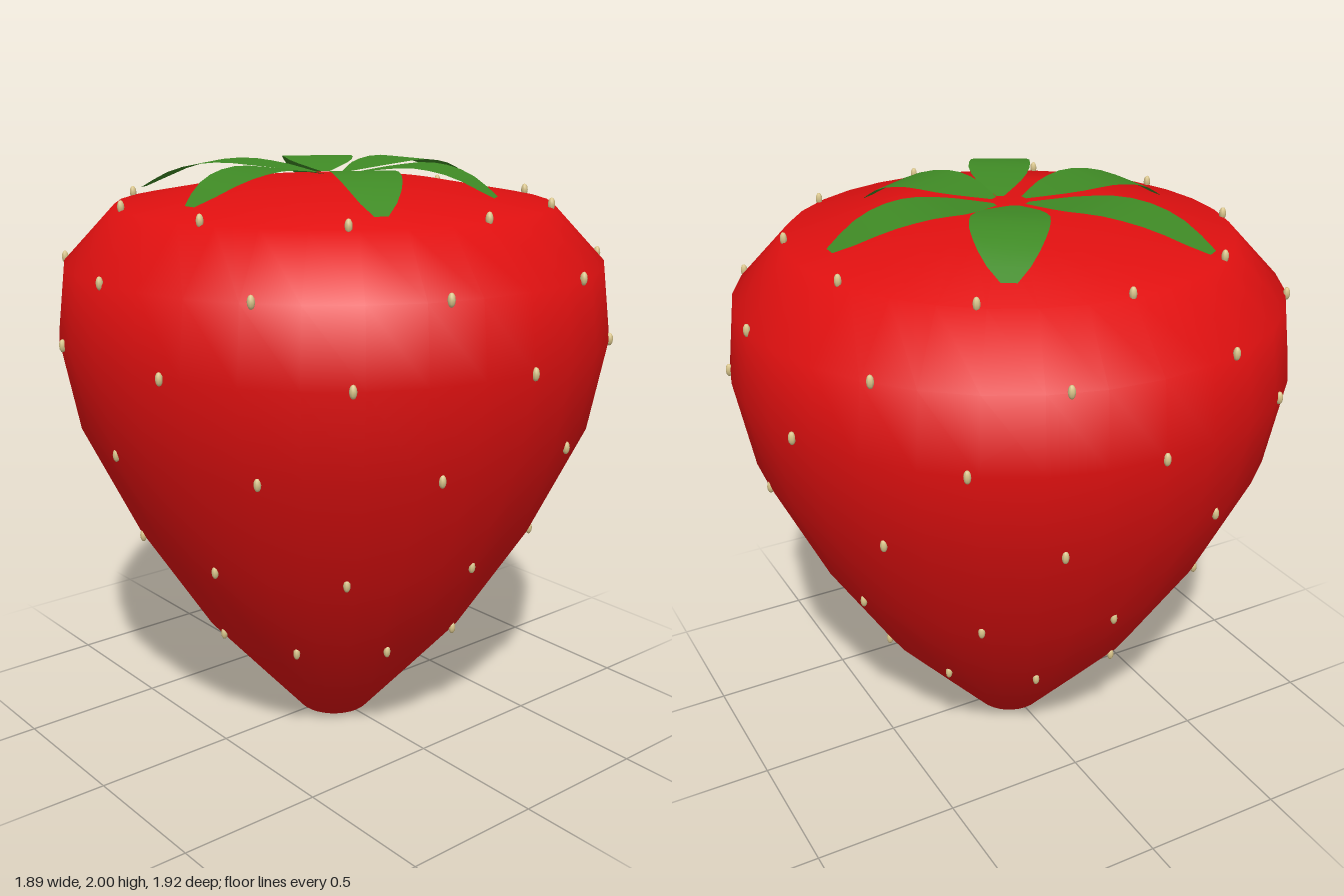
import * as THREE from 'three';

const mat = (name, color, side = THREE.FrontSide) => {
  const m = new THREE.MeshStandardMaterial({ color, side });
  m.name = name;
  return m;
};

// Curved leaf blade from base to tip; n and p are half widths on its two sides
function leafGeometry([bx, bz, tx, tz, n, p]) {
  const width = [0.12, 0.42, 0.7, 0.89, 0.99, 1, 0.97, 0.88, 0.74, 0.52, 0.2];
  const arch = new THREE.CatmullRomCurve3([
    [0, 1.968], [0.25, 1.99], [0.5, 2], [0.75, 1.972], [1, 1.9],
  ].map(([t, y]) => new THREE.Vector3(t, y, 0)));
  const len = Math.hypot(tx - bx, tz - bz);
  const dx = (tx - bx) / len, dz = (tz - bz) / len;
  const pos = [], index = [], rows = width.length - 1;
  width.forEach((w, i) => {
    const { x: t, y } = arch.getPoint(i / rows);
    for (const s of [-n * w, 0, p * w]) {
      pos.push(bx + dx * len * t - dz * s, Math.min(y, 2), bz + dz * len * t + dx * s);
    }
    if (i < rows) {
      for (let j = 0; j < 2; j++) {
        const a = i * 3 + j;
        index.push(a, a + 1, a + 3, a + 1, a + 4, a + 3);
      }
    }
  });
  const g = new THREE.BufferGeometry();
  g.setAttribute('position', new THREE.Float32BufferAttribute(pos, 3));
  g.setIndex(index);
  g.computeVertexNormals();
  return g;
}

export function createModel() {
  const model = new THREE.Group();
  model.name = 'strawberry';
  const red = mat('berry red', 0xe01010);
  const green = mat('leaf green', 0x3f8a25, THREE.DoubleSide);
  const tan = mat('seed tan', 0xd8c48a);

  // Fruit body
  const profile = [
    [0, 0], [0.13, 0], [0.28, 0.17], [0.49, 0.41], [0.705, 0.75], [0.89, 1.14],
    [0.947, 1.445], [0.917, 1.685], [0.74, 1.872], [0.37, 1.938], [0, 1.955],
  ].map(([r, y]) => new THREE.Vector2(r, y));
  const body = new THREE.Mesh(new THREE.LatheGeometry(profile, 32), red);
  body.name = 'fruitBody';
  model.add(body);

  // Staggered rings of ten seeds
  const seeds = new THREE.Group();
  seeds.name = 'seeds';
  const seedGeo = new THREE.SphereGeometry(1, 8, 6).scale(0.012, 0.022, 0.012);
  [[0.495, 0.412], [0.708, 0.755], [0.888, 1.14], [0.947, 1.445], [0.917, 1.69], [0.735, 1.883]]
    .forEach(([r, y], row) => {
      for (let i = 0; i < 10; i++) {
        const a = (i + (row % 2 ? 0 : 0.5)) * Math.PI / 5;
        const seed = new THREE.Mesh(seedGeo, tan);
        seed.name = 'seed';
        seed.position.set(r * Math.sin(a), y, r * Math.cos(a));
        seeds.add(seed);
      }
    });
  model.add(seeds);

  // Leaf crown: base x, z, tip x, z, half widths
  const crown = new THREE.Group();
  crown.name = 'leafCrown';
  [
    [0.06, -0.01, 0.635, 0.0, 0.155, 0.09],
    [0.01, -0.06, 0.29, -0.53, 0.115, 0.133],
    [-0.04, -0.05, -0.39, -0.59, 0.107, 0.12],
    [-0.06, 0.01, -0.605, 0.03, 0.125, 0.125],
    [0.0, 0.06, -0.31, 0.595, 0.118, 0.095],
    [0.03, 0.05, 0.3, 0.48, 0.126, 0.124],
  ].forEach((spec) => {
    const leaf = new THREE.Mesh(leafGeometry(spec), green);
    leaf.name = 'leaf';
    crown.add(leaf);
  });
  model.add(crown);
  return model;
}
